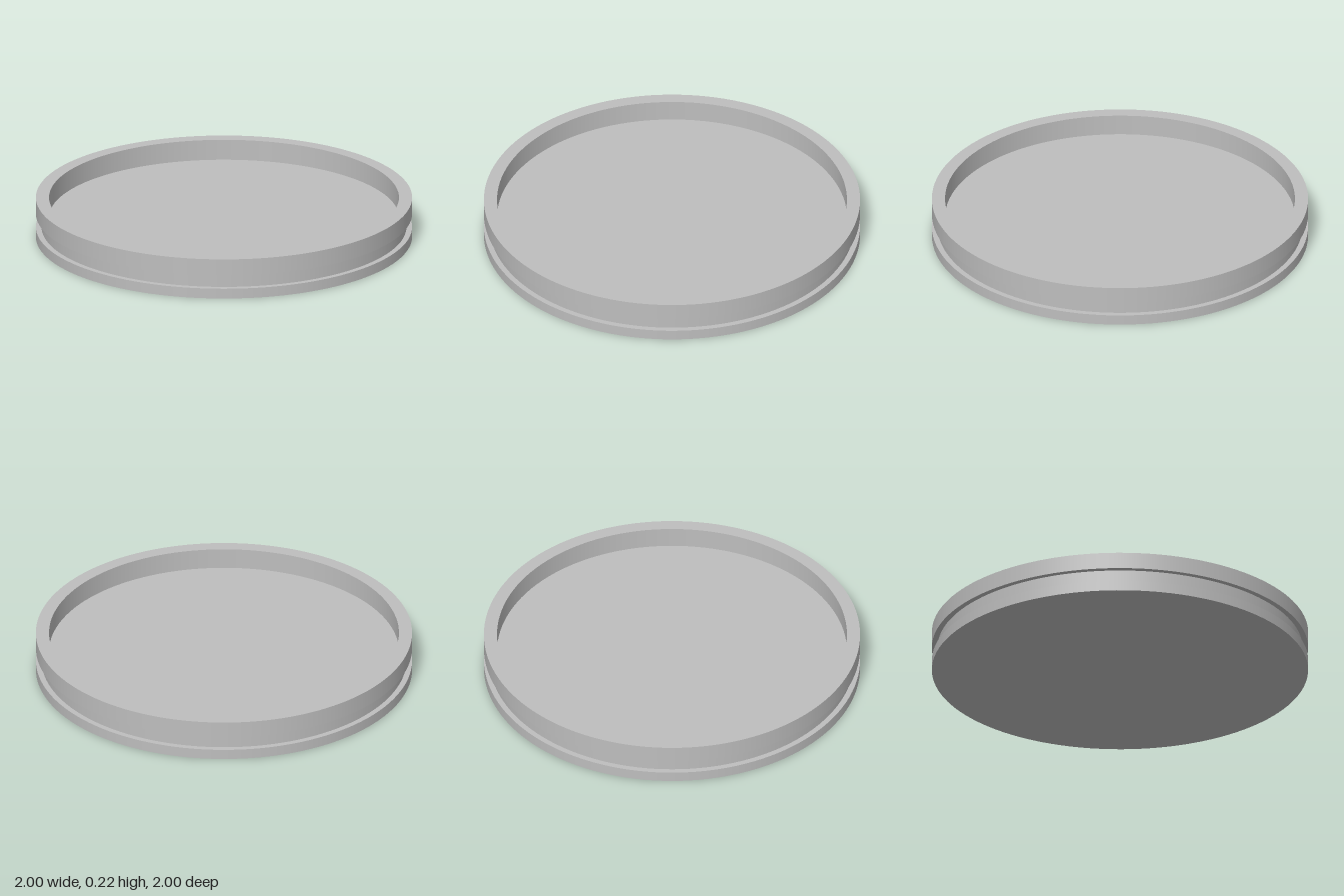
import * as THREE from 'three';

const SEGMENTS = 128;

export function createModel() {
  const grey = new THREE.MeshStandardMaterial({ color: 0xbebebe });
  grey.name = 'grey';

  const model = new THREE.Group();
  model.name = 'groovedDish';

  // Profile [radius, height] from the underside centre, round the rim, to the floor centre
  const profile = [
    [0, 0], [1, 0], [1, 0.055], [0.97, 0.055], [0.97, 0.13],
    [1, 0.13], [1, 0.22], [0.93, 0.22], [0.93, 0.108], [0, 0.108],
  ];
  const names = [
    'underside', 'lowerFlangeWall', 'grooveLowerLedge', 'grooveWall', 'grooveUpperLedge',
    'upperRimWall', 'rimTop', 'innerWall', 'dishFloor',
  ];

  // One lathe per profile segment keeps every edge sharp and the round walls smooth
  names.forEach((name, i) => {
    const points = [profile[i], profile[i + 1]].map(([r, y]) => new THREE.Vector2(r, y));
    const mesh = new THREE.Mesh(new THREE.LatheGeometry(points, SEGMENTS), grey);
    mesh.name = name;
    model.add(mesh);
  });

  return model;
}
